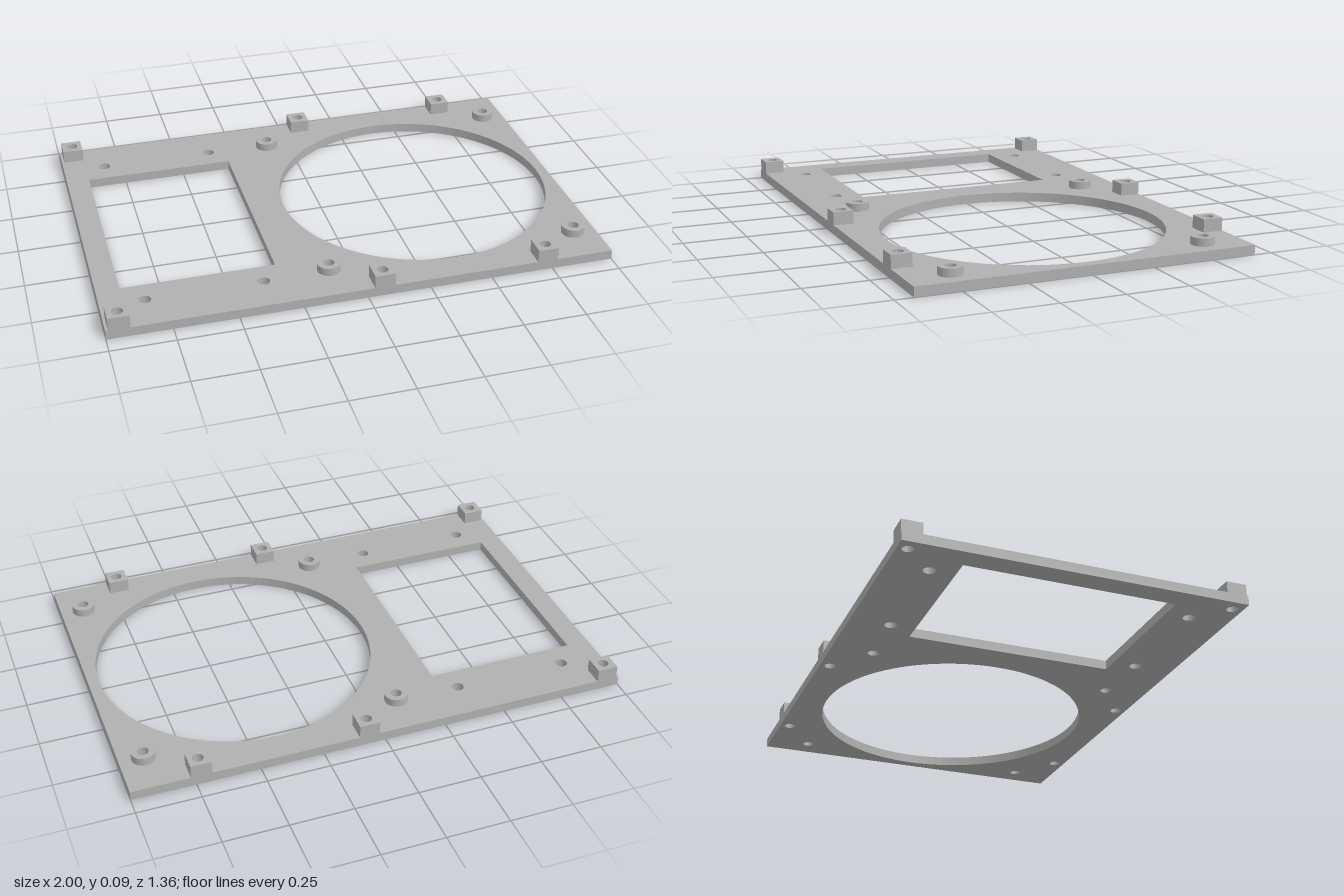
import * as THREE from 'three';

const PLATE_TOP = 0.038, HOLE_R = 0.022;

function rectShape(x0, x1, z0, z1, Type = THREE.Shape) {
  return new Type([[x0, z0], [x1, z0], [x1, z1], [x0, z1]].map(([x, z]) => new THREE.Vector2(x, z)));
}

function circle(x, z, r, Type = THREE.Path) {
  const path = new Type();
  path.absarc(x, z, r, 0, Math.PI * 2, false);
  return path;
}

// Extrudes a plan outline upwards from y0 to y1
function slab(name, shape, y0, y1, material, segments = 16) {
  const geometry = new THREE.ExtrudeGeometry(shape, { depth: y1 - y0, bevelEnabled: false, curveSegments: segments });
  geometry.rotateX(-Math.PI / 2).translate(0, y0, 0);
  const mesh = new THREE.Mesh(geometry, material);
  mesh.name = name;
  return mesh;
}

export function createModel() {
  const group = new THREE.Group();
  group.name = 'mountingPlate';
  const gray = new THREE.MeshStandardMaterial({ color: 0xb0b0b0 });
  gray.name = 'gray';

  // Plate with a rectangular window and a large round opening
  const plate = rectShape(-1, 1, -0.678, 0.678);
  plate.holes.push(rectShape(-0.908, -0.302, -0.42, 0.42, THREE.Path), circle(0.398, 0, 0.559));

  for (const side of [-1, 1]) {
    // Plain screw holes around the window
    for (const x of [-0.828, -0.37]) plate.holes.push(circle(x, side * 0.518, 0.024));

    // Drilled blocks along the long edges
    for (const [x0, x1, hx] of [[-0.99, -0.907, -0.947], [0.025, 0.106, 0.066], [0.688, 0.77, 0.73]]) {
      const inner = side * 0.596, outer = side * 0.678, hz = side * 0.637;
      const block = rectShape(x0, x1, Math.min(inner, outer), Math.max(inner, outer));
      block.holes.push(circle(hx, hz, HOLE_R));
      plate.holes.push(circle(hx, hz, HOLE_R));
      group.add(slab('edgeBlock', block, PLATE_TOP, 0.09, gray));
    }

    // Round bosses at the corners of the large opening
    for (const x of [-0.11, 0.906]) {
      const boss = circle(x, side * 0.508, 0.046, THREE.Shape);
      boss.holes.push(circle(x, side * 0.508, HOLE_R));
      plate.holes.push(circle(x, side * 0.508, HOLE_R));
      group.add(slab('screwBoss', boss, PLATE_TOP, 0.07, gray));
    }
  }

  group.add(slab('plate', plate, 0, PLATE_TOP, gray, 48));
  return group;
}
